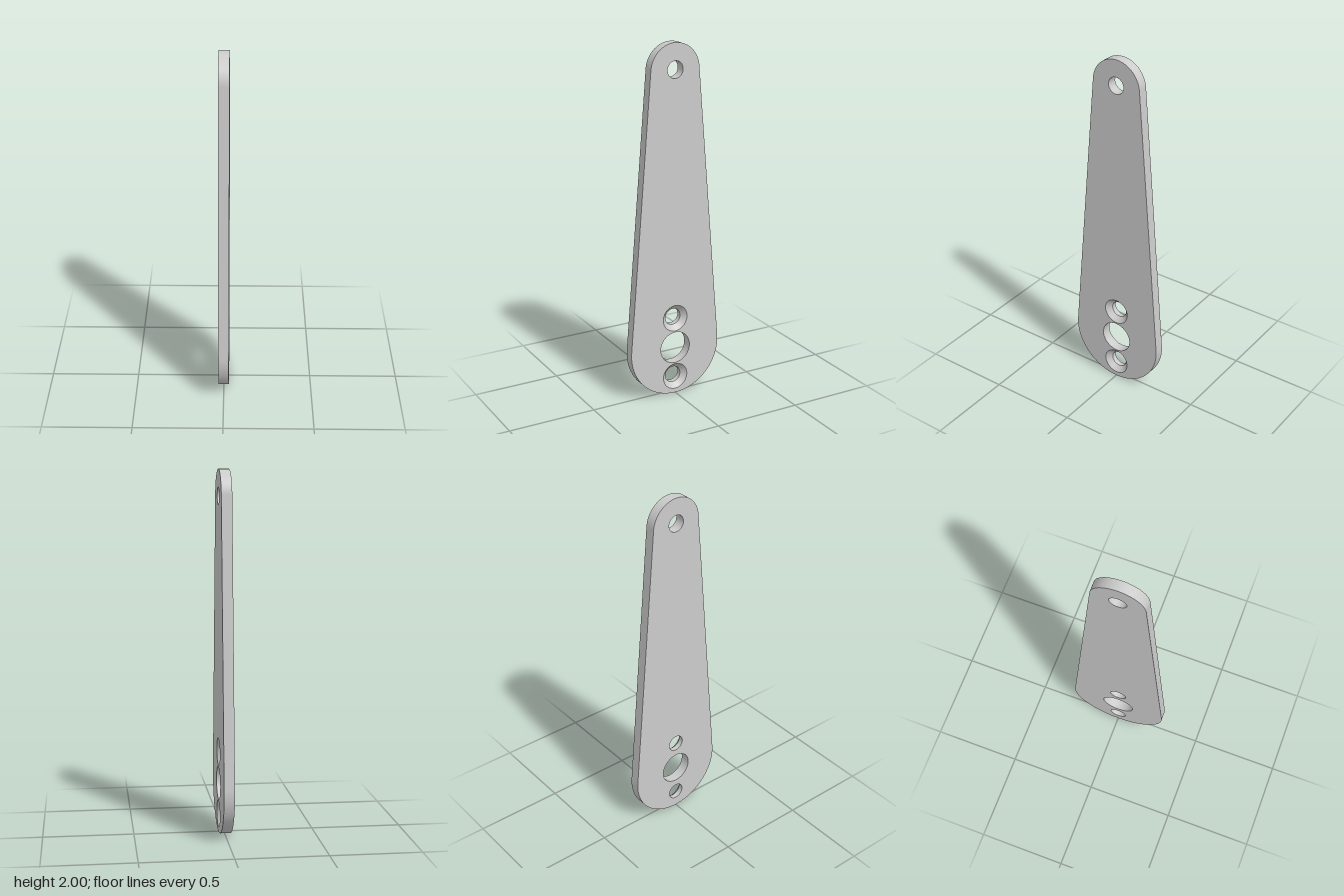
import * as THREE from 'three';

const HALF = 0.029;                       // half of the plate thickness
const LOW = { y: 0.277, r: 0.277 };       // large rounded end
const TOP = { y: 1.854, r: 0.146 };       // small rounded end
const SEGMENTS = 48;

// Holes through the plate; "sink" is the wide radius of a countersink on the +x face
const HOLES = [
  { name: 'tipHole', y: 1.857, r: 0.047 },
  { name: 'upperScrewHole', y: 0.455, r: 0.047, sink: 0.076 },
  { name: 'centreHole', y: 0.278, r: 0.092 },
  { name: 'lowerScrewHole', y: 0.102, r: 0.047, sink: 0.076 },
];

// Two arcs joined by their common tangents, with the outward direction at each point
function outlinePoints() {
  const tilt = Math.asin((LOW.r - TOP.r) / (TOP.y - LOW.y));
  const points = [];
  const arc = (end, from, to) => {
    for (let i = 0; i <= SEGMENTS; i++) {
      const angle = from + (to - from) * i / SEGMENTS;
      const normal = new THREE.Vector2(Math.cos(angle), Math.sin(angle));
      points.push({ normal, position: normal.clone().multiplyScalar(end.r).add(new THREE.Vector2(0, end.y)) });
    }
  };
  arc(TOP, tilt, Math.PI - tilt);
  arc(LOW, Math.PI - tilt, 2 * Math.PI + tilt);
  return points;
}

function circlePath(y, r) {
  const points = [];
  for (let i = 0; i < SEGMENTS; i++) {
    const a = i / SEGMENTS * Math.PI * 2;
    points.push(new THREE.Vector2(r * Math.cos(a), y + r * Math.sin(a)));
  }
  return new THREE.Path().setFromPoints(points);
}

// Flat face on the +x (side = 1) or -x (side = -1) of the plate
function faceGeometry(outline, side) {
  const shape = new THREE.Shape(outline.map(p => p.position));
  for (const h of HOLES) shape.holes.push(circlePath(h.y, side > 0 && h.sink ? h.sink : h.r));
  return new THREE.ShapeGeometry(shape).rotateY(side * Math.PI / 2).translate(side * HALF, 0, 0);
}

// Edge band around the outline
function rimGeometry(outline) {
  const positions = [], normals = [], index = [];
  outline.forEach(({ position: p, normal: n }, i) => {
    for (const x of [HALF, -HALF]) {
      positions.push(x, p.y, -p.x);
      normals.push(0, n.y, -n.x);
    }
    const a = 2 * i, c = 2 * ((i + 1) % outline.length);
    index.push(a, a + 1, c, a + 1, c + 1, c);
  });
  const geometry = new THREE.BufferGeometry();
  geometry.setAttribute('position', new THREE.Float32BufferAttribute(positions, 3));
  geometry.setAttribute('normal', new THREE.Float32BufferAttribute(normals, 3));
  geometry.setIndex(index);
  return geometry;
}

// Inward-facing wall of a hole, from (radius, x) down to (radius, x)
function boreGeometry(y, r0, x0, r1, x1) {
  return new THREE.LatheGeometry([new THREE.Vector2(r0, x0), new THREE.Vector2(r1, x1)], SEGMENTS)
    .rotateZ(-Math.PI / 2).translate(0, y, 0);
}

export function createModel() {
  const model = new THREE.Group();
  model.name = 'taperedLinkPlate';
  const material = new THREE.MeshStandardMaterial({ color: 0xcccccc });
  const add = (name, geometry) => {
    const mesh = new THREE.Mesh(geometry, material);
    mesh.name = name;
    model.add(mesh);
  };

  // Plate body
  const outline = outlinePoints();
  add('countersunkFace', faceGeometry(outline, 1));
  add('plainFace', faceGeometry(outline, -1));
  add('rim', rimGeometry(outline));

  // Bores and countersinks
  for (const h of HOLES) {
    const boreTop = h.sink ? HALF - (h.sink - h.r) : HALF;
    add(h.name, boreGeometry(h.y, h.r, boreTop, h.r, -HALF));
    if (h.sink) add(h.name + 'Countersink', boreGeometry(h.y, h.sink, HALF, h.r, boreTop));
  }
  return model;
}
